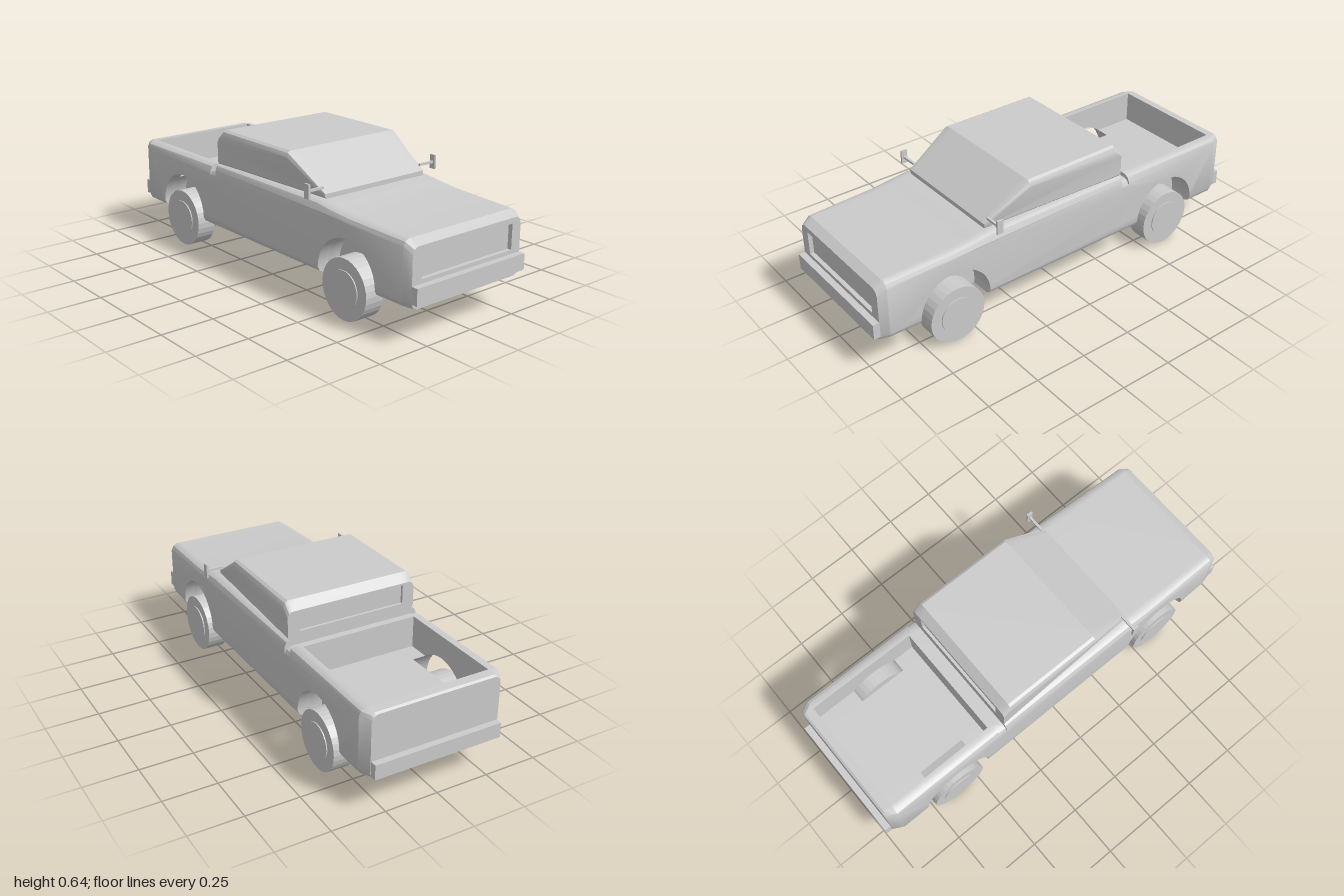
import * as THREE from 'three';
import { toCreasedNormals } from 'three/addons/utils/BufferGeometryUtils.js';

const grey = new THREE.MeshStandardMaterial({ color: 0xcccccc });
const ARCH = { r: 0.175, y: 0.18, x: 0.605 };
const BASE = 0.155, DIP = Math.asin((ARCH.y - BASE) / ARCH.r);

// piecewise linear lookup in [key, value] pairs
function lerpTable(table, k) {
  if (k <= table[0][0]) return table[0][1];
  for (let i = 1; i < table.length; i++) {
    const [k0, v0] = table[i - 1], [k1, v1] = table[i];
    if (k <= k1) return v0 + (v1 - v0) * (k - k0) / (k1 - k0);
  }
  return table[table.length - 1][1];
}

// side profile swept across the given z levels, then reshaped by a rule
function slab(points, levels, rule) {
  const shape = new THREE.Shape(points.map(([x, y]) => new THREE.Vector2(x, y)));
  const n = levels.length - 1;
  const geo = new THREE.ExtrudeGeometry(shape, { depth: 1, steps: n, bevelEnabled: false });
  const p = geo.attributes.position, v = new THREE.Vector3();
  for (let i = 0; i < p.count; i++) {
    v.fromBufferAttribute(p, i);
    v.z = levels[Math.round(v.z * n)];
    rule(v);
    p.setXYZ(i, v.x, v.y, v.z);
  }
  return toCreasedNormals(geo, 0.5);
}

// wheel arch outline, from angle a to angle b
function arch(cx, a = -DIP, b = Math.PI + DIP, n = 20) {
  return Array.from({ length: n + 1 }, (_, i) => {
    const t = a + (b - a) * i / n;
    return [cx + ARCH.r * Math.cos(t), ARCH.y + ARCH.r * Math.sin(t)];
  });
}

// body: rounded long edges and narrowed ends
const bodyRound = [[0.305, 0], [0.325, 0.01], [0.335, 0.03]];
const bodyTaper = [[-0.97, 0.92], [-0.92, 1], [0.5, 1], [0.93, 0.97], [0.97, 0.93]];
function bodyRule(v) {
  const d = lerpTable(bodyRound, Math.abs(v.z));
  if (v.y > 0.4) v.y -= d;
  else if (v.y < 0.16) v.y += d;
  if (Math.abs(v.z) > 0.29) v.z *= lerpTable(bodyTaper, v.x);
}

// cab: rounded top and bottom edges, narrowing beside the windscreen
const cabRound = [[0.297, 0], [0.31, 0.008], [0.318, 0.026]];
function cabRule(v) {
  const d = lerpTable(cabRound, Math.abs(v.z));
  if (v.y > 0.595) v.y -= d;
  else if (v.y < 0.48) v.y += d * 0.5;
  if (Math.abs(v.z) > 0.27) v.z *= lerpTable([[0.2, 1], [0.42, 0.9]], v.x);
}

export function createModel() {
  const model = new THREE.Group();
  const add = (name, geo, parent = model) => {
    const mesh = new THREE.Mesh(geo, grey);
    mesh.name = name;
    parent.add(mesh);
    return mesh;
  };
  const box = (name, x0, x1, y0, y1, z0, z1) => {
    const geo = new THREE.BoxGeometry(x1 - x0, y1 - y0, z1 - z0);
    return add(name, geo.translate((x0 + x1) / 2, (y0 + y1) / 2, (z0 + z1) / 2));
  };
  const sided = (levels, s) => (s > 0 ? levels : levels.map((z) => -z).reverse());

  // shared profile pieces
  const bodyTop = [[-0.36, 0.46], [-0.36, 0.44], [-0.32, 0.44], [-0.32, 0.472],
    [0.41, 0.472], [0.5, 0.461], [0.6, 0.451], [0.93, 0.44]];
  const tail = [[-0.97, BASE], [-0.97, 0.45], [-0.96, 0.457], [-0.92, 0.46], [-0.92, BASE]];
  const nose = [[0.93, BASE], [0.93, 0.44], [0.97, 0.415], [0.97, BASE]];
  const grilleNose = [[0.93, BASE], [0.93, 0.44], [0.97, 0.415], [0.97, 0.39],
    [0.95, 0.39], [0.95, 0.275], [0.97, 0.275], [0.97, BASE]];

  // centre of the body with the open bed
  add('bodyCentre', slab([[-0.92, BASE], [-0.92, 0.31], [-0.385, 0.31], [-0.385, 0.46],
    ...bodyTop, [0.93, BASE]], [-0.215, 0.215], bodyRule));
  add('tailgate', slab(tail, [-0.28, 0.28], bodyRule));
  add('grille', slab(grilleNose, [-0.26, 0.26], bodyRule));

  const openAngle = Math.asin((0.31 - ARCH.y) / ARCH.r);
  for (const s of [1, -1]) {
    const inner = sided([0.215, 0.28], s);
    const outer = sided([0.28, 0.305, 0.317, 0.325, 0.331, 0.335], s);

    // wheel wells, open through the bed floor at the rear
    add('wheelWellRear', slab([[-0.92, BASE], [-0.92, 0.31],
      ...arch(-ARCH.x, Math.PI - openAngle, Math.PI + DIP, 8)], inner, bodyRule));
    add('wheelWellFront', slab([[-0.385, 0.31], [-0.385, 0.46], ...bodyTop, [0.93, BASE],
      ...arch(ARCH.x), ...arch(-ARCH.x, -DIP, openAngle, 8)], inner, bodyRule));

    // outer side panels
    add('sidePanel', slab([[-0.92, BASE], [-0.92, 0.46], ...bodyTop, [0.93, BASE],
      ...arch(ARCH.x), ...arch(-ARCH.x)], outer, bodyRule));
    add('rearCorner', slab(tail, outer, bodyRule));
    add('frontCorner', slab(nose, [...sided([0.26, 0.28], s), ...outer]
      .sort((a, b) => a - b).filter((z, i, all) => z !== all[i - 1]), bodyRule));

    // wheels with hubs
    for (const x of [0.605, -0.608]) {
      const wheel = new THREE.Group();
      wheel.name = 'wheel';
      wheel.position.set(x, 0.137, 0);
      model.add(wheel);
      const disc = (name, r, z0, z1) => add(name, toCreasedNormals(
        new THREE.CylinderGeometry(r, r, z1 - z0, 32).rotateX(Math.PI / 2), 0.1)
        .translate(0, 0, s * (z0 + z1) / 2), wheel);
      disc('tyre', 0.137, 0.245, 0.34);
      disc('hub', 0.085, 0.3, 0.345);
    }

    // door mirrors
    const mirror = (name, x0, x1, y0, y1, z0, z1) =>
      box(name, x0, x1, y0, y1, Math.min(s * z0, s * z1), Math.max(s * z0, s * z1));
    mirror('mirrorArm', 0.394, 0.406, 0.51, 0.52, 0.28, 0.362);
    mirror('mirror', 0.385, 0.415, 0.483, 0.548, 0.362, 0.371);
  }

  // cab with a recessed rear window
  const cabFront = [[-0.32, 0.6], [-0.28, 0.636], [0.2, 0.636], [0.42, 0.492], [0.42, 0.465]];
  add('cab', slab([[-0.32, 0.465], [-0.32, 0.5], [-0.307, 0.5], [-0.307, 0.59],
    [-0.32, 0.59], ...cabFront], [-0.26, 0.26], cabRule));
  for (const s of [1, -1]) {
    add('cabSide', slab([[-0.32, 0.465], ...cabFront],
      sided([0.26, 0.297, 0.31, 0.318], s), cabRule));
  }

  // bumpers
  box('frontBumper', 0.962, 1, 0.183, 0.257, -0.312, 0.312);
  box('rearBumper', -1, -0.965, 0.17, 0.24, -0.305, 0.305);

  return model;
}
